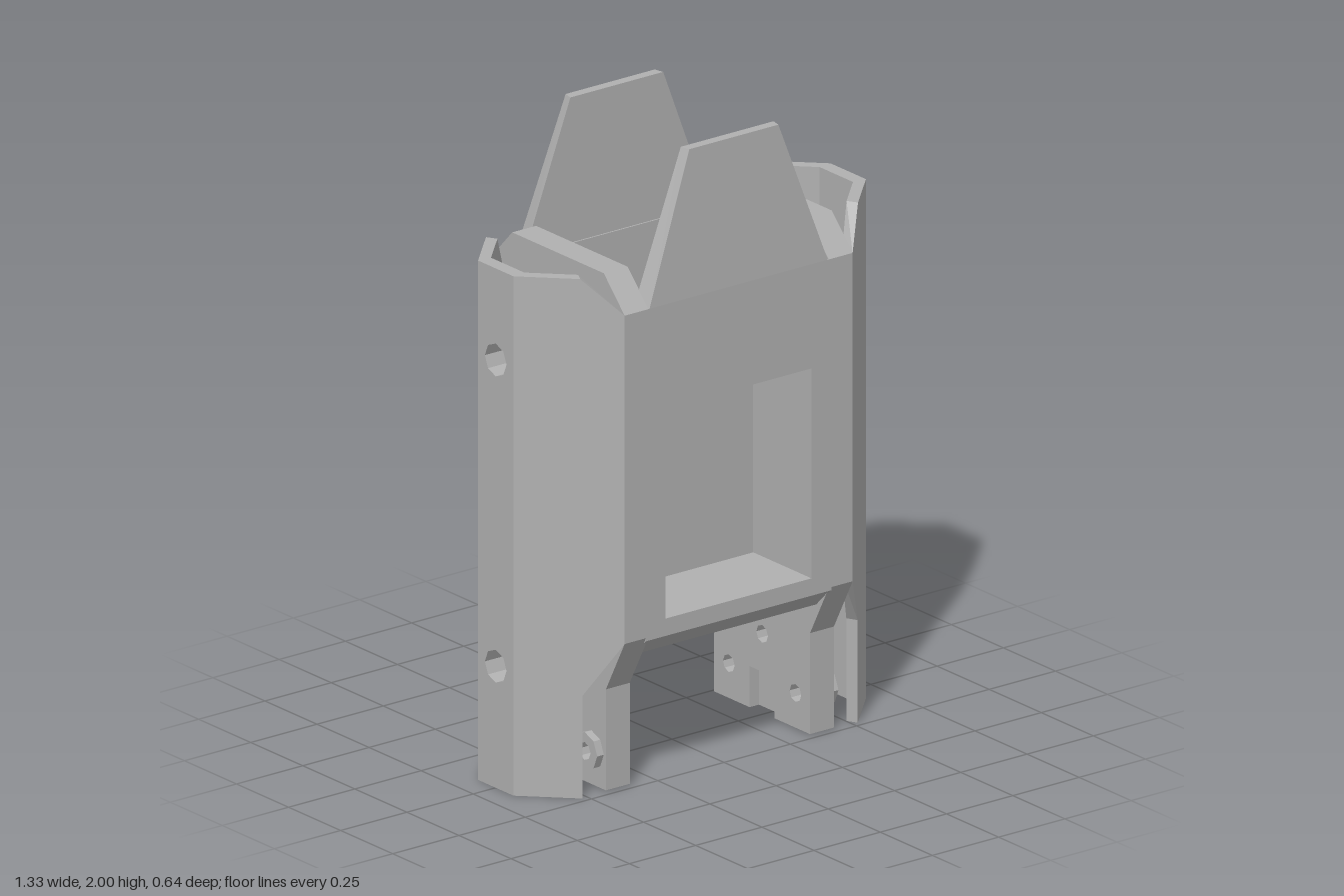
import * as THREE from 'three';

const grey = new THREE.MeshStandardMaterial({ color: 0xb0b0b0, flatShading: true });
grey.name = 'plain grey';

const mesh = (name, geometry) => {
  const m = new THREE.Mesh(geometry, grey);
  m.name = name;
  return m;
};

const polygon = (points) => new THREE.Shape(points.map(([x, y]) => new THREE.Vector2(x, y)));

const rectangle = (x0, y0, x1, y1) => polygon([[x0, y0], [x1, y0], [x1, y1], [x0, y1]]);

const roundHole = (x, y, r) => {
  const points = [];
  for (let i = 0; i < 8; i++) {
    const a = (i / 8) * Math.PI * 2;
    points.push(new THREE.Vector2(x + r * Math.cos(a), y + r * Math.sin(a)));
  }
  return new THREE.Path(points);
};

// Extrude a front-view shape from z0 to z1
function slabZ(shape, z0, z1) {
  const g = new THREE.ExtrudeGeometry(shape, { depth: z1 - z0, bevelEnabled: false });
  return g.translate(0, 0, z0);
}

// Extrude a side-view shape from x0 to x1
function slabX(shape, x0, x1) {
  const g = new THREE.ExtrudeGeometry(shape, { depth: x1 - x0, bevelEnabled: false });
  return g.rotateY(Math.PI / 2).translate(x0, 0, 0);
}

// Closed solid between two mappings of one polygon
function loft(points, mapA, mapB) {
  const n = points.length;
  const ring = [...points.map(mapA), ...points.map(mapB)];
  const caps = THREE.ShapeUtils.triangulateShape(points.map(([x, y]) => new THREE.Vector2(x, y)), []);
  const faces = [];
  const ccw = THREE.ShapeUtils.area(points.map(([x, y]) => ({ x, y }))) > 0;
  caps.forEach(([a, b, c]) => faces.push([c, b, a], [a + n, b + n, c + n]));
  for (let i = 0; i < n; i++) {
    const j = (i + 1) % n;
    if (ccw) faces.push([i, j, j + n], [i, j + n, i + n]);
    else faces.push([j, i, j + n], [j + n, i, i + n]);
  }
  // Turn the faces outward whichever way the mapping runs
  let volume = 0;
  const v = ring.map((p) => new THREE.Vector3(...p));
  faces.forEach(([a, b, c]) => { volume += v[a].dot(v[b].clone().cross(v[c])); });
  if (volume < 0) faces.forEach((f) => f.reverse());
  const g = new THREE.BufferGeometry();
  g.setAttribute('position', new THREE.Float32BufferAttribute(faces.flat().flatMap((i) => ring[i]), 3));
  g.computeVertexNormals();
  return g;
}

// Front half of the core: pocketed wall, tapering tab and arch corners
function buildFace() {
  const face = new THREE.Group();
  const pocket = () => new THREE.Path(rectangle(-0.275, 0.545, 0.275, 1.21).getPoints());

  const outer = rectangle(-0.35, 0.43, 0.35, 1.54);
  outer.holes.push(pocket());
  const wall = slabZ(outer, 0.26, 0.32);
  const p = wall.attributes.position;
  for (let i = 0; i < p.count; i++) {
    if (p.getY(i) < 0.44 && p.getZ(i) > 0.3) p.setY(i, 0.49); // sloped lower lip
  }
  wall.computeVertexNormals();
  face.add(mesh('faceWall', wall));

  const inner = rectangle(-0.35, 0.43, 0.35, 1.3);
  inner.holes.push(pocket());
  face.add(mesh('pocketFrame', slabZ(inner, 0.04, 0.26)));

  const tab = [[-0.35, 1.54], [0.35, 1.54], [0.175, 2], [-0.175, 2]];
  face.add(mesh('taperedTab', loft(tab,
    ([x, y]) => [x, y, 0.265],
    ([x, y]) => [x * 0.96, y, y > 1.9 ? 0.297 : 0.32])));

  for (const s of [-1, 1]) {
    const corner = [[0.3, 0.49], [0.35, 0.435], [0.35, 0.5]];
    face.add(mesh('archCorner', loft(corner,
      ([x, y]) => [s * x, y, 0],
      ([x, y]) => [s * x, y, y < 0.45 ? 0.265 : 0.319])));
  }
  return face;
}

// One side: cheek with leg, angled hollow guard and its screw posts
function buildSide() {
  const side = new THREE.Group();
  const bolts = [[-0.16, 0.12], [0, 0.26], [0.16, 0.12]];

  const half = [[0.23, 0.01], [0.23, 0.33], [0.32, 0.5], [0.32, 1.54], [0.22, 1.645]];
  const mirrored = half.map(([z, y]) => [-z, y]).reverse();
  const notch = [[-0.06, 0.01], [-0.06, 0.14], [0.06, 0.14], [0.06, 0.01]];
  const layers = [
    ['legInnerPad', [...half, ...mirrored, ...notch], 0.34, 0.375],
    ['cheekAndLeg', [...half, ...mirrored], 0.375, 0.43],
  ];
  for (const [name, points, x0, x1] of layers) {
    const shape = polygon(points);
    bolts.forEach(([z, y]) => shape.holes.push(roundHole(z, y, 0.028)));
    side.add(mesh(name, slabX(shape, x0, x1)));
  }

  // Collars around the leg bolt holes
  for (const [z, y] of bolts) {
    const ring = new THREE.Shape(roundHole(z, y, 0.06).getPoints());
    ring.holes.push(roundHole(z, y, 0.028));
    side.add(mesh('boltCollar', slabX(ring, 0.43, 0.455)));
  }

  // Outer strip of the guard with screw openings
  const strip = rectangle(-0.085, 0.005, 0.085, 1.65);
  const heights = [0.39, 1.36];
  heights.forEach((y) => strip.holes.push(roundHole(0, y, 0.052)));
  side.add(mesh('guardStrip', slabX(strip, 0.62, 0.665)));

  // Slanted guard panels, t runs from the strip to the cheek
  const panel = [[0, 0.005], [0.62, 0.005], [0.62, 0.33], [1, 0.5], [1, 1.54], [0.6, 1.65], [0, 1.65]];
  for (const s of [-1, 1]) {
    side.add(mesh('guardPanel', loft(panel,
      ([t, y]) => [0.665 - 0.235 * t, y, s * (0.085 + 0.235 * t)],
      ([t, y]) => [0.62 - 0.19 * t, y, s * (0.08 + 0.19 * t)])));
  }

  // Hollow screw posts joining guard and cheek
  const profile = [[0.07, 0.42], [0.06, 0.56], [0.088, 0.575], [0.088, 0.63], [0.052, 0.63], [0.052, 0.585], [0, 0.585]]
    .map(([r, x]) => new THREE.Vector2(r, x));
  for (const y of heights) {
    const post = new THREE.LatheGeometry(profile, 8).rotateZ(-Math.PI / 2).translate(0, y, 0);
    side.add(mesh('screwPost', post));
    const head = new THREE.CylinderGeometry(0.028, 0.028, 0.03, 6).rotateZ(-Math.PI / 2).translate(0.595, y, 0);
    side.add(mesh('screwHead', head));
  }
  return side;
}

export function createModel() {
  const model = new THREE.Group();
  model.name = 'bracketHousing';

  // Web between the two pockets
  model.add(mesh('centreWeb', new THREE.BoxGeometry(0.7, 0.87, 0.08).translate(0, 0.865, 0)));

  for (const [i, end] of ['front', 'back'].entries()) {
    const face = buildFace();
    face.name = end + 'Face';
    face.rotation.y = i * Math.PI;
    model.add(face);
  }
  for (const [i, hand] of ['left', 'right'].entries()) {
    const side = buildSide();
    side.name = hand + 'Side';
    side.rotation.y = i * Math.PI;
    model.add(side);
  }
  return model;
}
